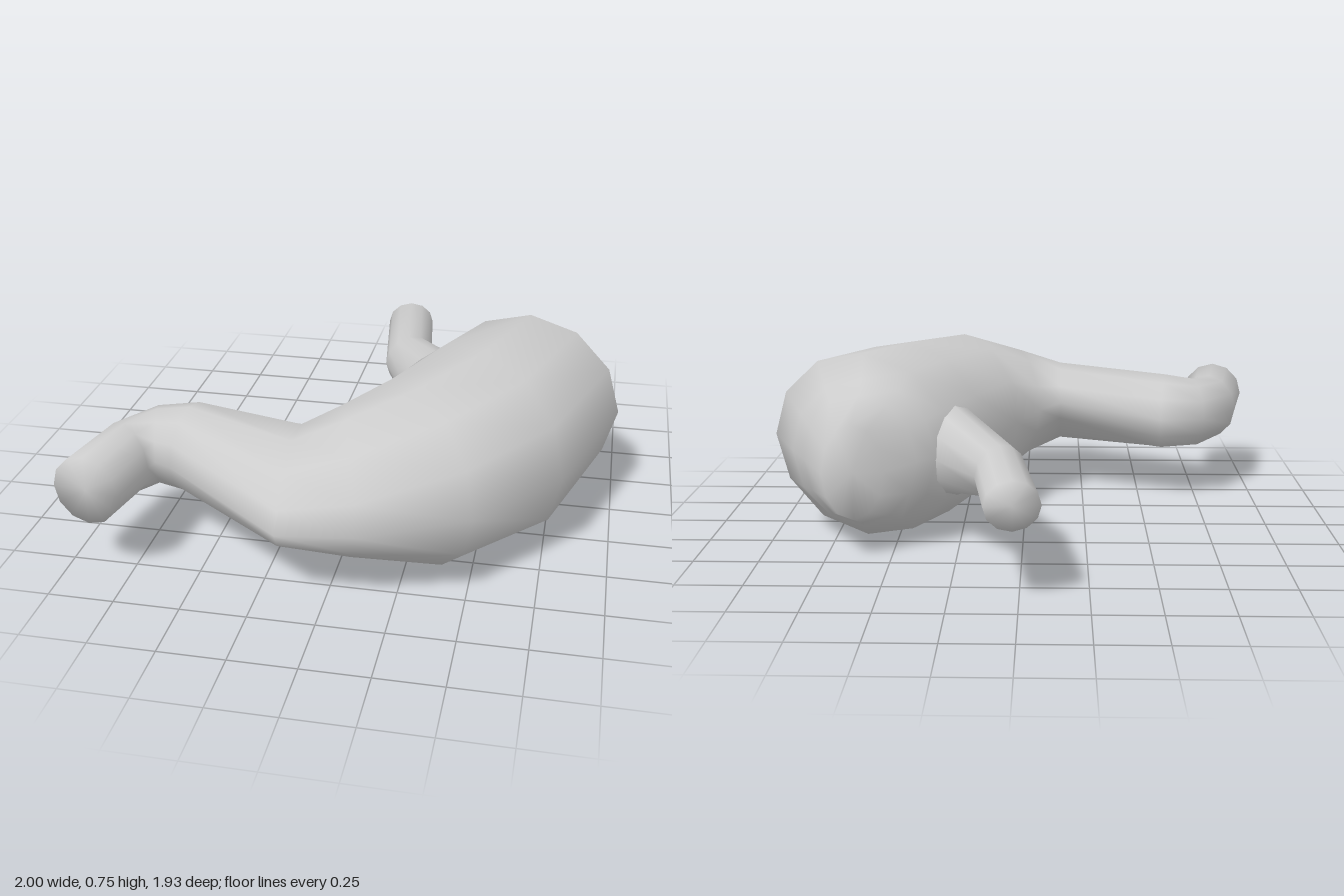
import * as THREE from 'three';

const SIDES = 12;

// Lofts closed rings and caps both ends, sharing vertices for a soft look.
// Each ring: inner x, z, outer x, z, bottom y, top y, then optionally
// the rise of the outer tip and how pointed the two tips are (1 = ellipse).
function loft(rings) {
  const positions = [];
  const index = [];
  for (const [ax, az, bx, bz, low, high, tilt = 0, point = 1] of rings) {
    for (let k = 0; k < SIDES; k++) {
      const angle = (k / SIDES) * Math.PI * 2;
      const cos = Math.cos(angle);
      const sin = Math.sin(angle);
      const across = (1 + cos) / 2;
      const rise = Math.sign(sin) * Math.abs(sin) ** point;
      positions.push(
        ax + (bx - ax) * across,
        (low + high) / 2 + rise * (high - low) / 2 + tilt * cos,
        az + (bz - az) * across
      );
    }
  }
  for (let r = 0; r < rings.length - 1; r++) {
    for (let k = 0; k < SIDES; k++) {
      const a = r * SIDES + k;
      const b = r * SIDES + (k + 1) % SIDES;
      index.push(a, a + SIDES, b, b, a + SIDES, b + SIDES);
    }
  }
  // End caps
  for (const r of [0, rings.length - 1]) {
    const [ax, az, bx, bz, low, high] = rings[r];
    const centre = positions.length / 3;
    positions.push((ax + bx) / 2, (low + high) / 2, (az + bz) / 2);
    for (let k = 0; k < SIDES; k++) {
      const a = r * SIDES + k;
      const b = r * SIDES + (k + 1) % SIDES;
      if (r === 0) index.push(centre, a, b);
      else index.push(centre, b, a);
    }
  }
  const geometry = new THREE.BufferGeometry();
  geometry.setAttribute('position', new THREE.Float32BufferAttribute(positions, 3));
  geometry.setIndex(index);
  geometry.computeVertexNormals();
  return geometry;
}

export function createModel() {
  const group = new THREE.Group();
  group.name = 'stomach';
  const tissue = new THREE.MeshStandardMaterial({ color: 0xcccccc });
  tissue.name = 'grey tissue';

  // Outlet tube, bend, curved body and rounded upper end
  const body = new THREE.Mesh(loft([
    [-1.00, 0.85, -0.74, 0.89, 0.24, 0.51],
    [-0.93, 0.52, -0.71, 0.66, 0.23, 0.51],
    [-0.77, 0.32, -0.70, 0.61, 0.22, 0.52],
    [-0.58, 0.28, -0.63, 0.65, 0.21, 0.54],
    [-0.15, 0.39, -0.15, 0.96, 0.20, 0.55, -0.05, 1.3],
    [-0.06, 0.29, 0.13, 0.94, 0.13, 0.62, -0.04, 1.3],
    [0.03, 0.20, 0.52, 0.79, 0.03, 0.71, -0.01],
    [0.15, -0.13, 0.81, 0.45, 0.00, 0.73, 0, 0.9],
    [0.25, -0.29, 1.00, -0.09, 0.01, 0.75, 0.02, 1.05],
    [0.33, -0.36, 0.90, -0.26, 0.08, 0.67],
    [0.40, -0.40, 0.84, -0.36, 0.12, 0.62],
    [0.52, -0.455, 0.75, -0.49, 0.16, 0.53],
  ]), tissue);
  body.name = 'stomachBody';

  // Inlet tube, flared where it enters the body
  const inlet = new THREE.Mesh(loft([
    [0.30, 0.06, 0.50, -0.20, 0.10, 0.64],
    [0.15, -0.13, 0.33, -0.36, 0.20, 0.53],
    [-0.01, -0.45, 0.17, -0.60, 0.27, 0.47],
    [-0.08, -0.94, 0.12, -0.97, 0.28, 0.46],
  ]), tissue);
  inlet.name = 'inletTube';

  group.add(body, inlet);
  return group;
}
